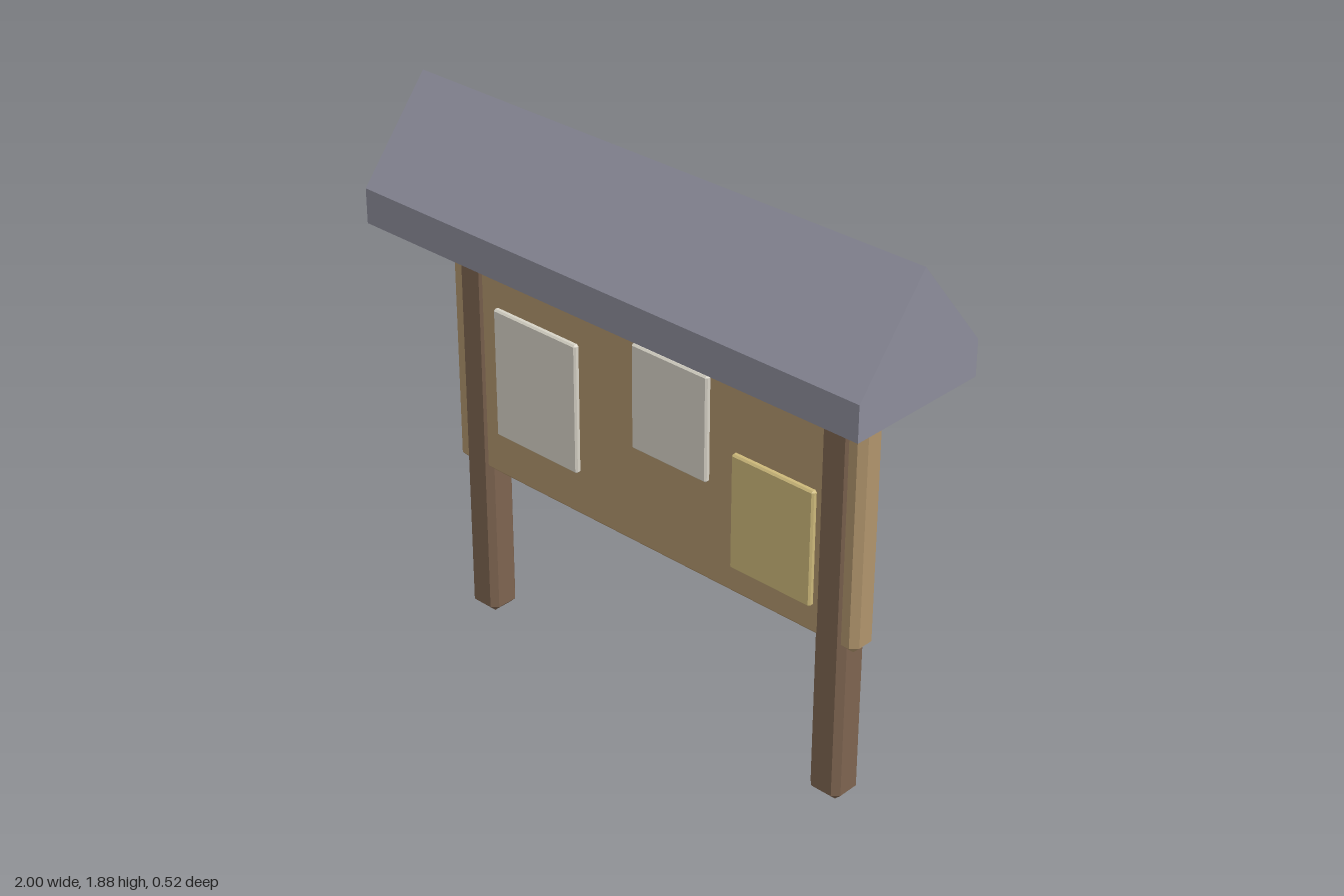
import * as THREE from 'three';
import { ConvexGeometry } from 'three/addons/geometries/ConvexGeometry.js';

const paint = (color) => new THREE.MeshStandardMaterial({ color, flatShading: true });

// Box with all twelve edges cut at 45 degrees
function chamferedBox(w, h, d, c) {
  const half = [w / 2, h / 2, d / 2];
  const points = [];
  for (const sx of [-1, 1]) for (const sy of [-1, 1]) for (const sz of [-1, 1]) {
    for (let full = 0; full < 3; full++) {
      const p = half.map((v, i) => (i === full ? v : v - c));
      points.push(new THREE.Vector3(sx * p[0], sy * p[1], sz * p[2]));
    }
  }
  return new ConvexGeometry(points);
}

// Chamfered box given by its limits on each axis
function addBox(group, name, material, [x0, x1], [y0, y1], [z0, z1], chamfer) {
  const mesh = new THREE.Mesh(chamferedBox(x1 - x0, y1 - y0, z1 - z0, chamfer), material);
  mesh.position.set((x0 + x1) / 2, (y0 + y1) / 2, (z0 + z1) / 2);
  mesh.name = name;
  group.add(mesh);
}

function geometryFrom(points) {
  const geometry = new THREE.BufferGeometry().setFromPoints(points);
  geometry.computeVertexNormals();
  return geometry;
}

// Gabled roof: a chevron section (z, y) swept along x, with fanned end caps
function addRoof(group, roofMaterial, undersideMaterial) {
  const section = [[0, 1.88], [0.26, 1.56], [0.26, 1.44], [0, 1.76], [-0.26, 1.44], [-0.26, 1.56]];
  const n = section.length;
  const at = (i, x) => new THREE.Vector3(x, section[i % n][1], section[i % n][0]);
  const outer = [], inner = [];
  for (let i = 0; i < n; i++) {
    const target = i === 2 || i === 3 ? inner : outer;
    target.push(at(i, -1), at(i + 1, -1), at(i + 1, 1), at(i, -1), at(i + 1, 1), at(i, 1));
  }
  for (let k = 1; k < n - 1; k++) {
    outer.push(at(2, 1), at(2 + k, 1), at(3 + k, 1));
    outer.push(at(1, -1), at(2 + k, -1), at(1 + k, -1));
  }
  const roof = new THREE.Mesh(geometryFrom(outer), roofMaterial);
  roof.name = 'roof';
  const underside = new THREE.Mesh(geometryFrom(inner), undersideMaterial);
  underside.name = 'roofUnderside';
  group.add(roof, underside);
}

export function createModel() {
  const model = new THREE.Group();
  model.name = 'noticeBoard';
  const wood = paint(0x7d6450);
  const panel = paint(0xb0946c);
  const paper = paint(0xd6d2c6);
  const yellowPaper = paint(0xccb87a);

  // Posts
  for (const [name, x] of [['leftPost', 0.755], ['rightPost', -0.755]]) {
    addBox(model, name, wood, [x - 0.06, x + 0.06], [0, 1.55], [-0.058, 0.058], 0.021);
  }

  // Panel between the posts
  addBox(model, 'panel', panel, [-0.855, 0.855], [0.56, 1.41], [-0.05, 0.05], 0.022);

  // Notices pinned to the front
  addBox(model, 'largeNotice', paper, [-0.645, -0.28], [0.73, 1.19], [0.04, 0.067], 0.006);
  addBox(model, 'smallNotice', paper, [-0.04, 0.27], [0.925, 1.29], [0.04, 0.067], 0.006);
  addBox(model, 'yellowNotice', yellowPaper, [0.37, 0.69], [0.67, 1.07], [0.04, 0.067], 0.006);

  addRoof(model, paint(0x8c8c9a), wood);
  return model;
}
